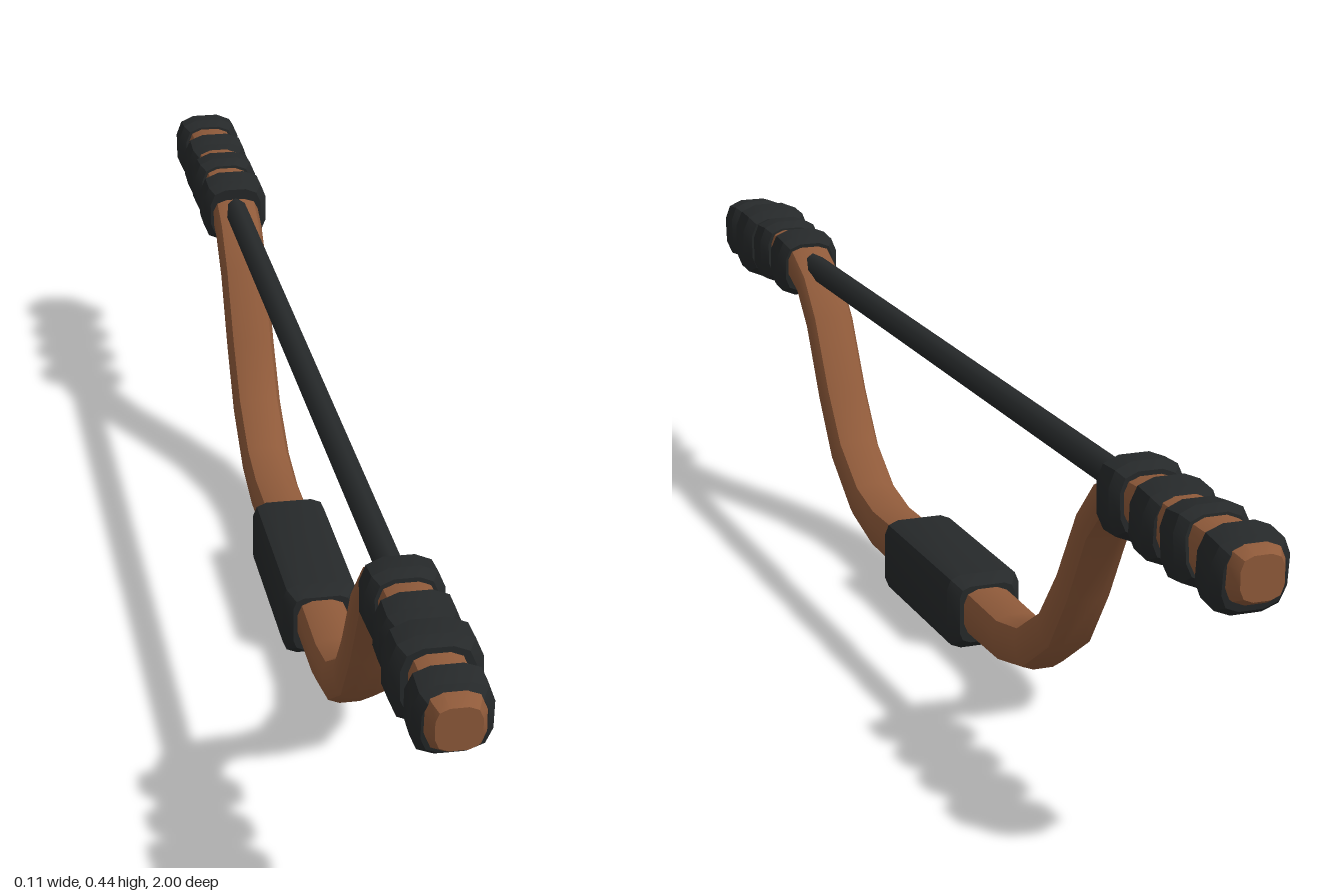
import * as THREE from 'three';
import { toCreasedNormals } from 'three/addons/utils/BufferGeometryUtils.js';

const wood = new THREE.MeshStandardMaterial({ color: 0x8f5a3a });
const dark = new THREE.MeshStandardMaterial({ color: 0x26292a });

// Rounded square of half-size 1, three points per corner, counter-clockwise
function outline(r) {
  const pts = [];
  for (let c = 0; c < 4; c++) {
    const mid = Math.PI / 4 + c * Math.PI / 2;
    const cx = Math.sign(Math.cos(mid)) * (1 - r), cy = Math.sign(Math.sin(mid)) * (1 - r);
    for (const k of [-1, 0, 1]) {
      const a = mid + k * Math.PI / 4;
      pts.push([cx + r * Math.cos(a), cy + r * Math.sin(a)]);
    }
  }
  return pts;
}

// Closed skin through sections [z, y, halfWidth, halfHeight], each square to the path
function loft(sections, round, crease) {
  const ring = outline(round), n = ring.length, pos = [], idx = [];
  sections.forEach(([z, y, hx, hy], s) => {
    const p = sections[Math.max(s - 1, 0)], q = sections[Math.min(s + 1, sections.length - 1)];
    const a = Math.atan2(q[1] - p[1], q[0] - p[0]);
    for (const [u, v] of ring) pos.push(u * hx, y + v * hy * Math.cos(a), z - v * hy * Math.sin(a));
  });
  for (let s = 0; s < sections.length - 1; s++) {
    for (let i = 0; i < n; i++) {
      const j = (i + 1) % n, a = s * n, b = a + n;
      idx.push(a + i, a + j, b + j, a + i, b + j, b + i);
    }
  }
  const last = (sections.length - 1) * n;
  for (let i = 1; i < n - 1; i++) idx.push(0, i + 1, i, last, last + i, last + i + 1);
  const g = new THREE.BufferGeometry();
  g.setAttribute('position', new THREE.Float32BufferAttribute(pos, 3));
  g.setIndex(idx);
  return toCreasedNormals(g, crease);
}

export function createModel() {
  const group = new THREE.Group();
  const add = (name, geometry, material) => {
    const mesh = new THREE.Mesh(geometry, material);
    mesh.name = name;
    group.add(mesh);
    return mesh;
  };

  // Curved wooden stave, mirrored about the grip
  const half = [
    [0, 0.057, 0.036, 0.035], [0.15, 0.057, 0.036, 0.035], [0.262, 0.057, 0.036, 0.033],
    [0.345, 0.075, 0.036, 0.032], [0.43, 0.13, 0.036, 0.03], [0.49, 0.21, 0.036, 0.026],
    [0.55, 0.312, 0.036, 0.024], [0.6, 0.363, 0.036, 0.025], [0.66, 0.388, 0.036, 0.03],
    [0.75, 0.388, 0.036, 0.036], [0.985, 0.388, 0.036, 0.036], [1, 0.388, 0.028, 0.028],
  ];
  const mirrored = half.slice(1).reverse().map(([z, ...rest]) => [-z, ...rest]);
  add('stave', loft([...mirrored, ...half], 0.6, 0.6), wood);

  // Hand grip with chamfered ends
  const grip = [[-0.15, 0.042], [-0.132, 0.055], [0.132, 0.055], [0.15, 0.042]];
  add('grip', loft(grip.map(([z, h]) => [z, 0, h, h]), 0.38, 0.4), dark).position.y = 0.055;

  // Straight bowstring
  const string = add('bowstring', new THREE.CylinderGeometry(0.019, 0.019, 1.3, 8), dark);
  string.rotation.x = Math.PI / 2;
  string.position.y = 0.389;

  // Bindings around the tips: [z, half size, half length, tilt]
  const bindings = [
    [0.946, 0.049, 0.031, 0.12], [0.857, 0.057, 0.034, -0.05],
    [0.775, 0.051, 0.031, 0.06], [0.684, 0.05, 0.031, -0.1],
    [-0.664, 0.051, 0.031, 0.05], [-0.76, 0.05, 0.031, -0.09],
    [-0.85, 0.05, 0.031, 0.12], [-0.948, 0.05, 0.031, -0.12],
  ];
  bindings.forEach(([z, r, l, tilt], i) => {
    const sections = [[-l, 0, r * 0.8, r * 0.8], [-l * 0.6, 0, r, r], [l * 0.6, 0, r, r], [l, 0, r * 0.8, r * 0.8]];
    const mesh = add('binding' + (i + 1), loft(sections, 0.6, 0.4), dark);
    mesh.position.set(0, 0.384, z);
    mesh.rotation.x = tilt;
  });
  return group;
}
